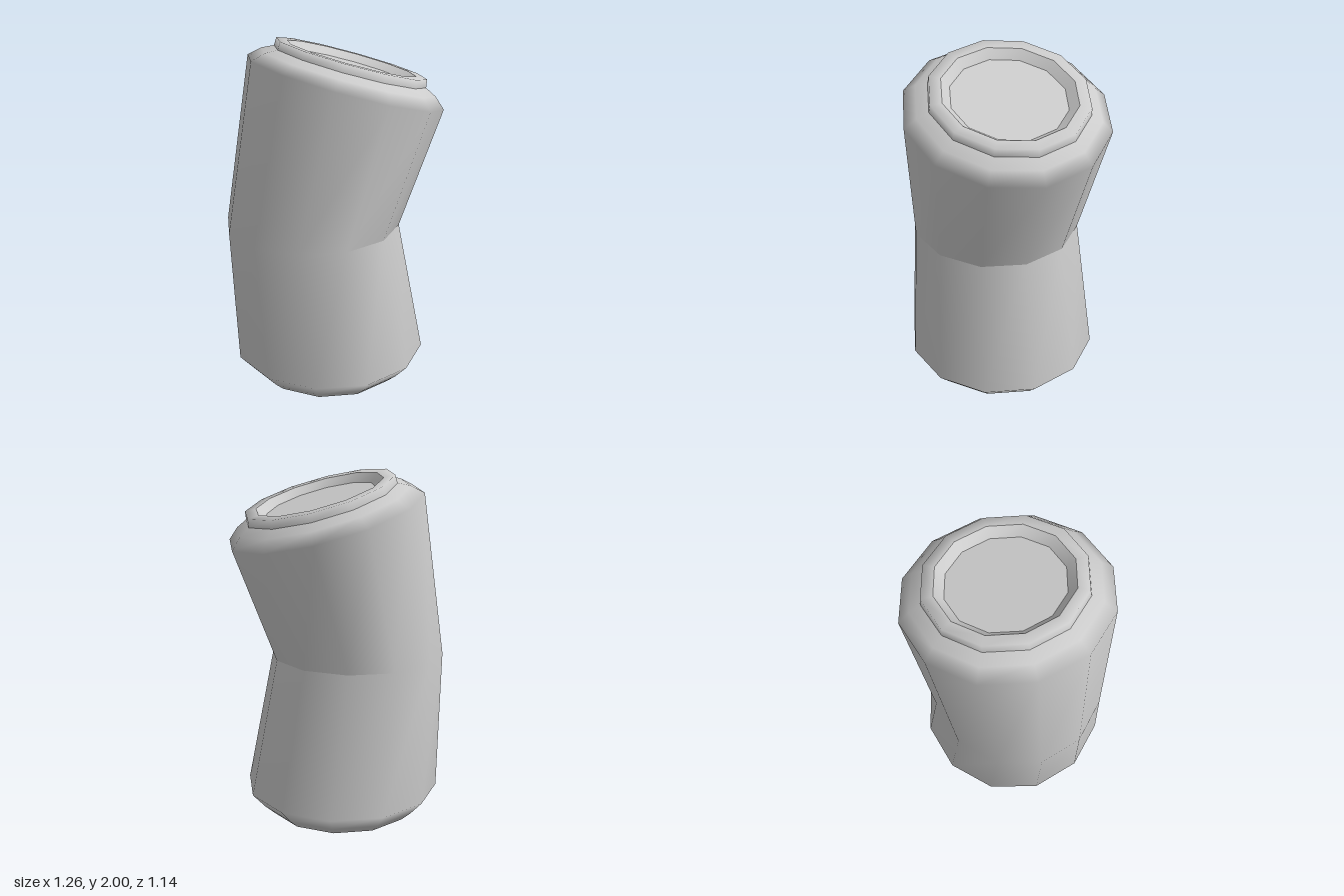
import * as THREE from 'three';

const SIDES = 12;
const TILT = 0.285; // lean of the upper opening towards +x

// Cross-section: centre, radius along x, tilt about z, radius along z
const ring = (x, y, r, tilt = 0, rz = r) => ({ x, y, r, tilt, rz });

// Smooth skin through rings listed from the bottom floor, up the outside, to the top floor
function loft(rings) {
  const pos = [], idx = [];
  for (const k of rings) {
    for (let j = 0; j < SIDES; j++) {
      const a = (j / SIDES) * Math.PI * 2, c = Math.cos(a) * k.r;
      pos.push(k.x + c * Math.cos(k.tilt), k.y - c * Math.sin(k.tilt), Math.sin(a) * k.rz);
    }
  }
  for (let i = 0; i < rings.length - 1; i++) {
    for (let j = 0; j < SIDES; j++) {
      const n = (j + 1) % SIDES;
      const a = i * SIDES + j, b = i * SIDES + n, c = a + SIDES, d = b + SIDES;
      idx.push(a, c, b, b, c, d);
    }
  }
  const geo = new THREE.BufferGeometry();
  geo.setAttribute('position', new THREE.Float32BufferAttribute(pos, 3));
  geo.setIndex(idx);
  geo.computeVertexNormals();
  return geo;
}

// Blend the normals across the waist except on the inside of the bend, which stays sharp
function blendWaist(lower, upper) {
  const nl = lower.attributes.normal, nu = upper.attributes.normal;
  const start = nl.count - SIDES;
  for (let j = 3; j <= SIDES - 3; j++) {
    const n = new THREE.Vector3().fromBufferAttribute(nl, start + j)
      .add(new THREE.Vector3().fromBufferAttribute(nu, j)).normalize();
    nl.setXYZ(start + j, n.x, n.y, n.z);
    nu.setXYZ(j, n.x, n.y, n.z);
  }
}

export function createModel() {
  const group = new THREE.Group();
  const material = new THREE.MeshStandardMaterial({ color: 0xcccccc });
  const add = (name, geo) => {
    const mesh = new THREE.Mesh(geo, material);
    mesh.name = name;
    group.add(mesh);
  };

  // Bent pipe body with chamfered ends
  const waist = ring(-0.125, 0.945, 0.505, 0, 0.49);
  const lower = loft([
    ring(-0.025, 0, 0.435), ring(-0.025, 0.055, 0.495), ring(-0.025, 0.14, 0.57), waist,
  ]);
  const upper = loft([
    waist, ring(0.078, 1.75, 0.57, TILT), ring(0.095, 1.805, 0.505, TILT), ring(0.105, 1.835, 0.44, TILT),
  ]);
  blendWaist(lower, upper);
  add('lowerPipe', lower);
  add('upperPipe', upper);

  // Raised lip round the upper opening
  const lipInner = ring(0.115, 1.88, 0.37, TILT);
  const topFloor = ring(0.103, 1.838, 0.32, TILT);
  add('upperLip', loft([ring(0.105, 1.835, 0.44, TILT), ring(0.115, 1.88, 0.435, TILT), lipInner]));
  add('upperRecessWall', loft([lipInner, topFloor]));
  add('upperRecessFloor', loft([topFloor, ring(0.103, 1.838, 0, TILT)]));

  // Recessed lower opening
  const baseInner = ring(-0.025, 0, 0.375);
  const baseFloor = ring(-0.025, 0.05, 0.28);
  add('lowerRim', loft([baseInner, ring(-0.025, 0, 0.435)]));
  add('lowerRecessWall', loft([baseFloor, baseInner]));
  add('lowerRecessFloor', loft([ring(-0.025, 0.05, 0), baseFloor]));

  return group;
}
